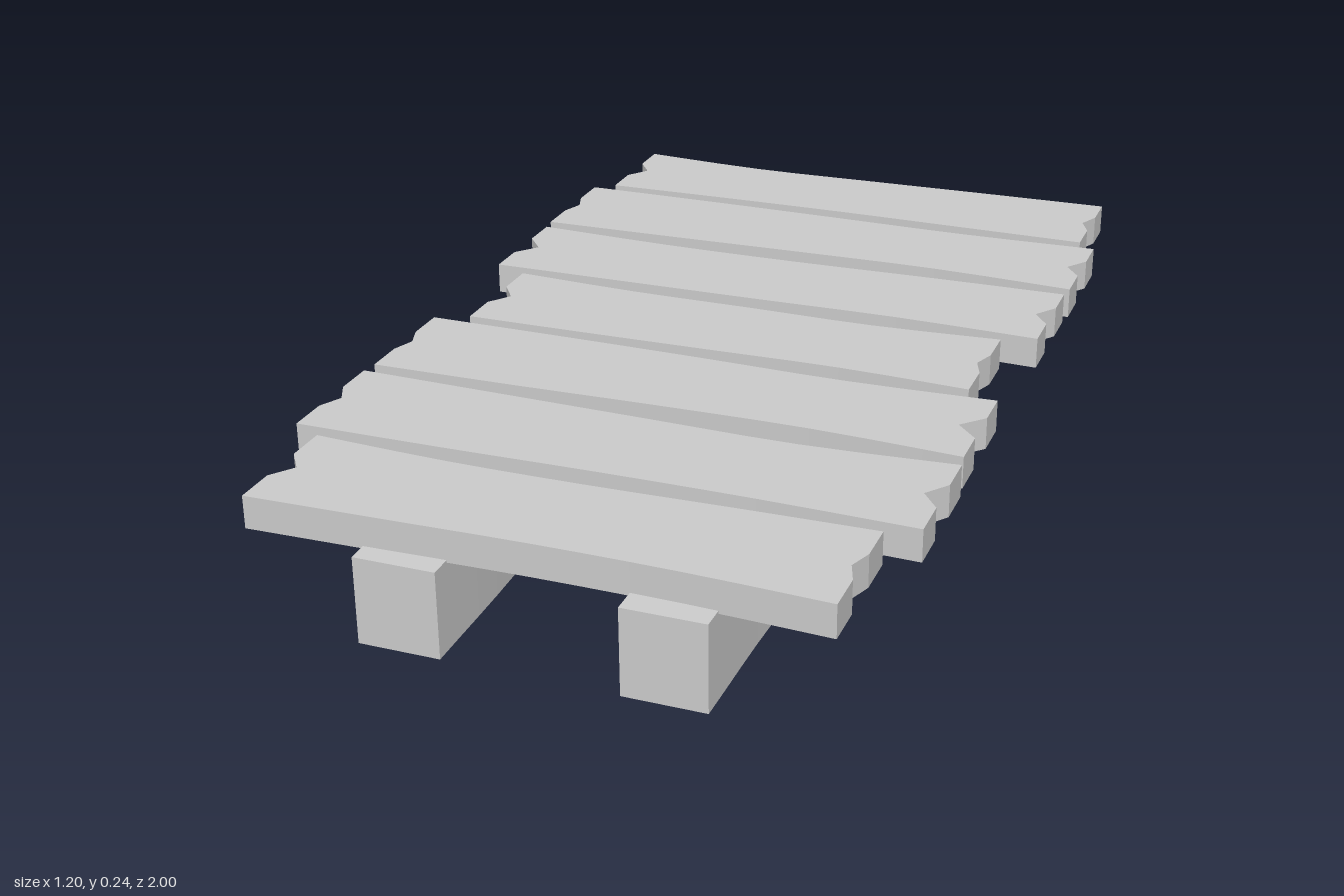
import * as THREE from 'three';

const material = new THREE.MeshStandardMaterial({ color: 0xcccccc, flatShading: true });
const PLANK_BASE = 0.175, PLANK_THICK = 0.063;

// Plank: slightly warped long edges, V-shaped split in each end
function plank(p) {
  const [x0, x1] = p.x;
  const edge = (z, dips, sign) => new THREE.SplineCurve([
    new THREE.Vector2(x0, -z),
    ...dips.map((d, i) => new THREE.Vector2(x0 + (x1 - x0) * (i + 1) / 4, -(z + sign * d))),
    new THREE.Vector2(x1, -z),
  ]).getPoints(12);
  const back = edge(p.z[0], p.back, 1);
  const front = edge(p.z[1], p.front, -1);
  const mid = -(p.z[0] + p.z[1]) / 2, h = 0.045;
  const notch = (x, depth, s) => [
    new THREE.Vector2(x, mid - s * h),
    new THREE.Vector2(x + s * depth * -1, mid),
    new THREE.Vector2(x, mid + s * h),
  ];
  const outline = [
    ...front, ...notch(x1, p.cut[1], 1),
    ...back.reverse(), ...notch(x0, p.cut[0], -1),
  ];
  const g = new THREE.ExtrudeGeometry(new THREE.Shape(outline), { depth: PLANK_THICK, bevelEnabled: false });
  g.rotateX(-Math.PI / 2).translate(0, PLANK_BASE, 0);
  return new THREE.Mesh(g, material);
}

// Beam: box whose cross-sections follow a bent path (x, height offset)
function beam(path) {
  const n = 28, w = 0.155, h = 0.167;
  const curve = new THREE.CatmullRomCurve3(path.map(([z, x, y]) => new THREE.Vector3(x, y, z)));
  const centres = curve.getPoints(n);
  const g = new THREE.BoxGeometry(w, h, 2, 1, 1, n);
  const pos = g.attributes.position;
  for (let i = 0; i < pos.count; i++) {
    const c = centres[Math.round((pos.getZ(i) + 1) / 2 * n)];
    pos.setXYZ(i, pos.getX(i) + c.x, pos.getY(i) + h / 2 + c.y, c.z);
  }
  g.computeVertexNormals();
  return new THREE.Mesh(g, material);
}

export function createModel() {
  const model = new THREE.Group();
  model.name = 'plankWalkway';

  // Deck planks, back to front
  const planks = [
    { z: [-0.98, -0.73], x: [-0.56, 0.558], cut: [0.032, 0.02], back: [0.02, 0.014, 0.006], front: [0.006, 0.008, 0.004] },
    { z: [-0.70, -0.447], x: [-0.60, 0.595], cut: [0.016, 0.032], back: [0.0, 0.004, 0.009], front: [0.006, 0.014, 0.018] },
    { z: [-0.415, -0.165], x: [-0.595, 0.59], cut: [0.037, 0.032], back: [0.014, 0.014, 0.005], front: [0.003, 0.006, 0.011] },
    { z: [-0.136, 0.118], x: [-0.524, 0.522], cut: [0.032, 0.016], back: [0.014, 0.015, 0.018], front: [0.003, 0.008, 0.013] },
    { z: [0.148, 0.4], x: [-0.59, 0.585], cut: [0.016, 0.042], back: [0.001, 0.005, 0.012], front: [0.005, 0.014, 0.017] },
    { z: [0.432, 0.685], x: [-0.595, 0.59], cut: [0.022, 0.034], back: [0.007, 0.014, 0.02], front: [0.002, 0.008, 0.008] },
    { z: [0.715, 0.968], x: [-0.535, 0.53], cut: [0.032, 0.016], back: [0.014, 0.014, 0.006], front: [0.007, 0.014, 0.012] },
  ];
  const deck = new THREE.Group();
  deck.name = 'deck';
  planks.forEach((p, i) => {
    const mesh = plank(p);
    mesh.name = `plank${i + 1}`;
    deck.add(mesh);
  });
  model.add(deck);

  // Two crooked support beams, rows of z, x, underside height
  const rightBeam = beam([
    [-1, -0.233, 0.011], [-0.714, -0.228, 0.02], [-0.429, -0.2, 0.022], [-0.143, -0.229, 0.012],
    [0.143, -0.268, 0.002], [0.429, -0.25, 0.02], [0.714, -0.23, 0.022], [1, -0.233, 0.011],
  ]);
  rightBeam.name = 'rightBeam';
  const leftBeam = beam([
    [-1, 0.25, 0.011], [-0.714, 0.25, 0.018], [-0.429, 0.238, 0.02], [-0.143, 0.217, 0.001],
    [0.143, 0.25, 0.016], [0.429, 0.282, 0.024], [0.714, 0.262, 0.026], [1, 0.25, 0.011],
  ]);
  leftBeam.name = 'leftBeam';
  model.add(rightBeam, leftBeam);
  return model;
}
